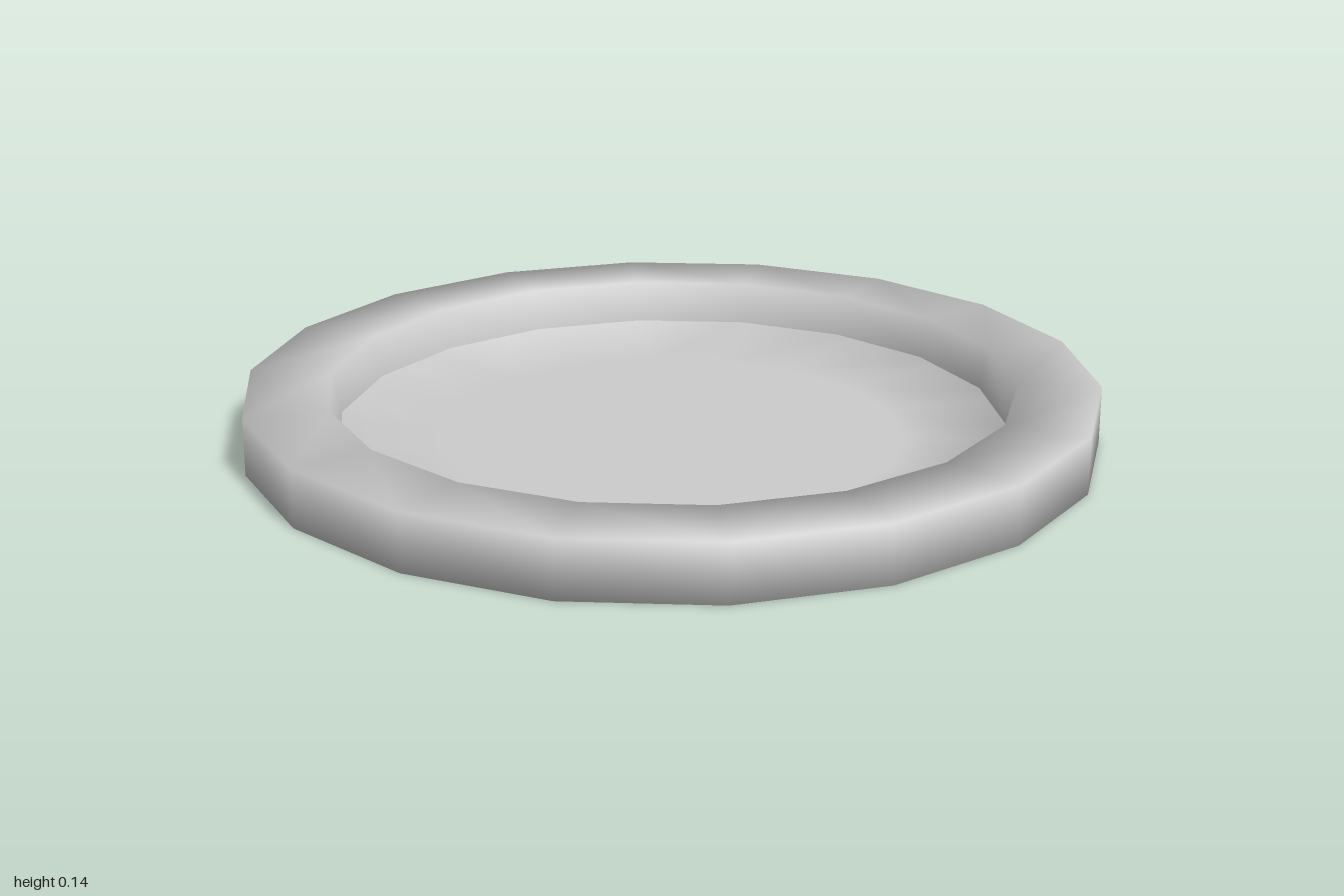
import * as THREE from 'three';

// Thin-skin cross-section from the centre of the base round to the hanging inner lip:
// [radius, height, outward normal, upward normal]
const profile = [
  [0, 0, 0, -1],
  [0.55, 0, 0, -1],
  [1, 0, 0.85, -0.53],
  [1, 0.135, 0.71, 0.71],
  [0.805, 0.135, -0.71, 0.71],
  [0.785, 0.035, -0.98, 0.2],
];

export function createModel() {
  const group = new THREE.Group();
  group.name = 'shallowDish';

  // 18 sides with a corner on the x axis
  const geometry = new THREE.LatheGeometry(
    profile.map(([r, y]) => new THREE.Vector2(r, y)), 18, Math.PI / 2);

  // Evenly blended normals, so the base, wall and rim shade as one soft surface
  const { position, normal } = geometry.attributes;
  for (let i = 0; i < position.count; i++) {
    const [r, , out, up] = profile[i % profile.length];
    const k = r > 0 ? out / r : 0;
    normal.setXYZ(i, position.getX(i) * k, up, position.getZ(i) * k);
  }

  // The base is a single skin, seen from above as the dish floor
  const dish = new THREE.Mesh(geometry,
    new THREE.MeshStandardMaterial({ color: 0xcccccc, side: THREE.DoubleSide }));
  dish.name = 'dish';
  group.add(dish);
  return group;
}
